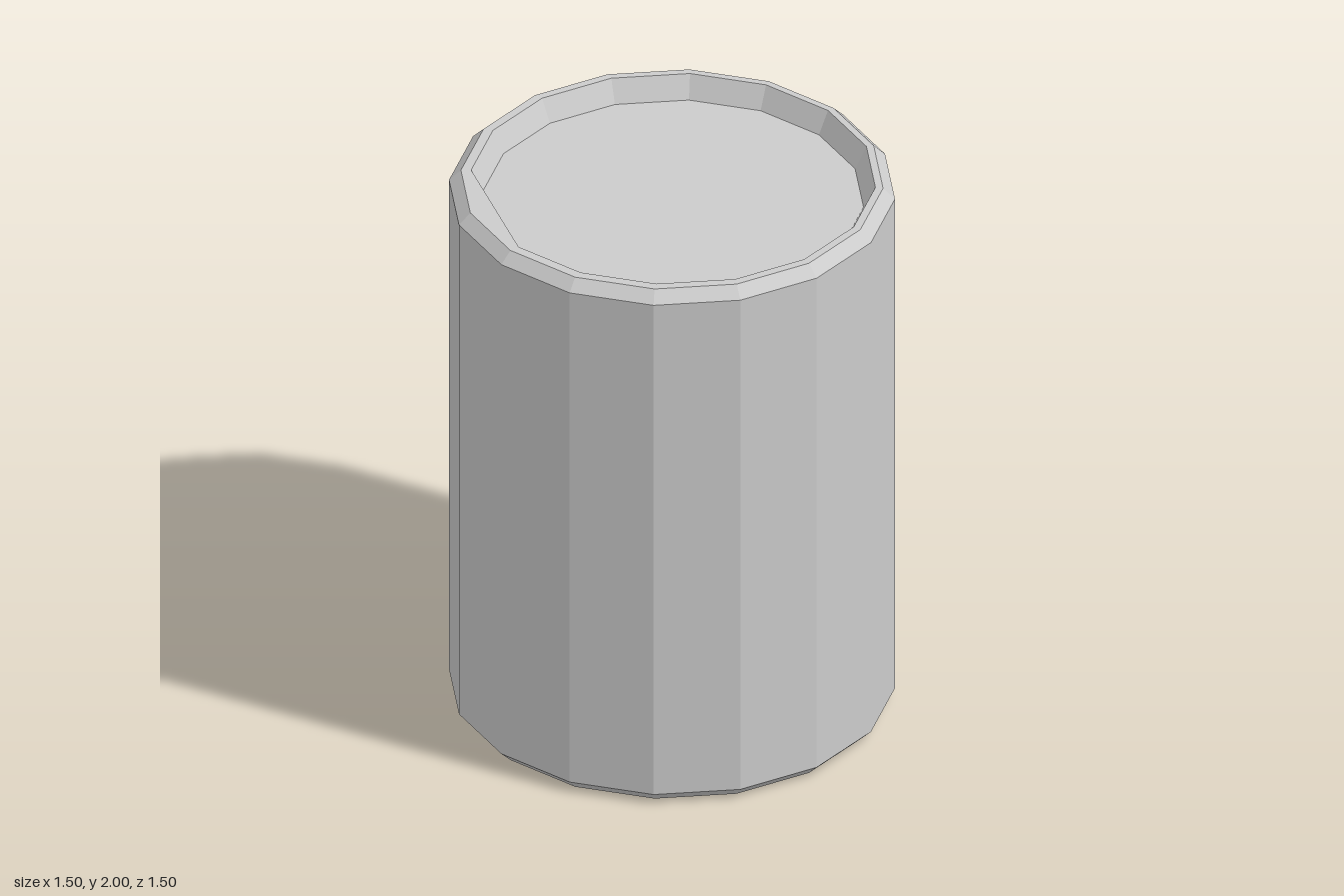
import * as THREE from 'three';

const SIDES = 16;
const material = new THREE.MeshStandardMaterial({ color: 0xcccccc, flatShading: true });

// Turned part from a [radius, height] profile running bottom to top on the outside.
function turned(name, profile) {
  const points = profile.map(([r, y]) => new THREE.Vector2(r, y));
  const mesh = new THREE.Mesh(new THREE.LatheGeometry(points, SIDES), material);
  mesh.name = name;
  return mesh;
}

// Straighten one corner of the inner rings and set them slightly off centre.
function flattenCorner(geometry, angle) {
  const pos = geometry.attributes.position;
  for (let i = 0; i < pos.count; i++) {
    const x = pos.getX(i), z = pos.getZ(i);
    const r = Math.hypot(x, z);
    if (r < 0.01 || r > 0.7) continue;
    const k = Math.abs(Math.atan2(z, x) - angle) < 0.05 ? Math.cos(Math.PI * 2 / SIDES) : 1;
    pos.setXYZ(i, x * k + 0.004, pos.getY(i), z * k - 0.004);
  }
}

export function createModel() {
  const model = new THREE.Group();
  model.name = 'drum';

  // Faceted wall with a bevel at each end
  model.add(turned('wall', [[0.71, 0], [0.75, 0.04], [0.75, 1.96], [0.71, 2]]));

  // Recessed lid: flat rim, sloped inner wall, sunken disc
  const lid = turned('lid', [[0.71, 2], [0.68, 2], [0.64, 1.92], [0, 1.92]]);
  flattenCorner(lid.geometry, Math.PI * 7 / 8);
  model.add(lid);

  // Recessed base, the same shape facing down
  model.add(turned('base', [[0, 0.08], [0.64, 0.08], [0.68, 0], [0.71, 0]]));

  return model;
}
